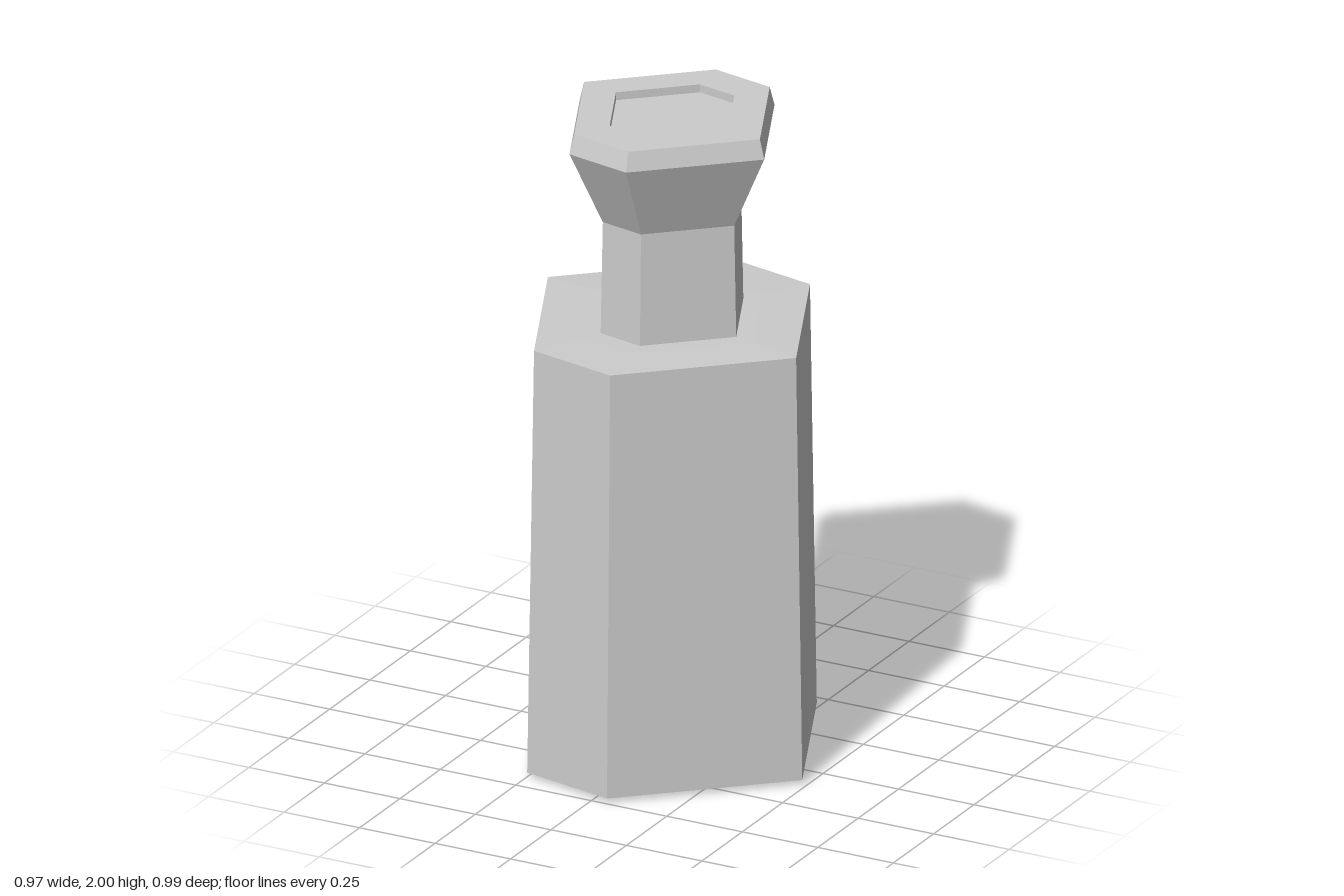
import * as THREE from 'three';

// Stretched hexagon outline, as [x, z], clockwise seen from above
const half = [[-0.05, -0.496], [0.248, -0.433], [0.487, 0.104]];
const outline = [...half, ...half.map(([x, z]) => [-x, -z])];

// Lofts the outline through a profile of [scale, height] rings, from bottom to top
function loft(name, profile, material) {
  const positions = [];
  const n = outline.length;
  const point = ([s, y], i) => [outline[i % n][0] * s, y, outline[i % n][1] * s];
  for (let r = 0; r < profile.length - 1; r++) {
    const low = profile[r], high = profile[r + 1];
    for (let i = 0; i < n; i++) {
      const a = point(low, i), b = point(low, i + 1);
      const c = point(high, i + 1), d = point(high, i);
      // rings of scale 0 are the centres of caps
      if (high[0] > 0) positions.push(...a, ...d, ...c);
      if (low[0] > 0) positions.push(...a, ...c, ...b);
    }
  }
  const geometry = new THREE.BufferGeometry();
  geometry.setAttribute('position', new THREE.Float32BufferAttribute(positions, 3));
  geometry.computeVertexNormals();
  const mesh = new THREE.Mesh(geometry, material);
  mesh.name = name;
  return mesh;
}

export function createModel() {
  const group = new THREE.Group();
  group.name = 'bottle';
  const material = new THREE.MeshStandardMaterial({ color: 0xcccccc, flatShading: true });

  // Tapered body with a slightly raised foot and a flat shoulder
  group.add(loft('body', [
    [0, 0], [0.75, 0], [1, 0.015], [0.953, 1.345], [0.62, 1.35], [0, 1.35],
  ], material));

  // Narrow neck flaring out to the lip
  group.add(loft('neck', [[0.493, 1.345], [0.478, 1.7], [0.708, 1.94]], material));

  // Bevelled lip with a shallow recessed mouth
  group.add(loft('lip', [
    [0.708, 1.94], [0.675, 2], [0.43, 2], [0.43, 1.975], [0, 1.975],
  ], material));
  return group;
}
